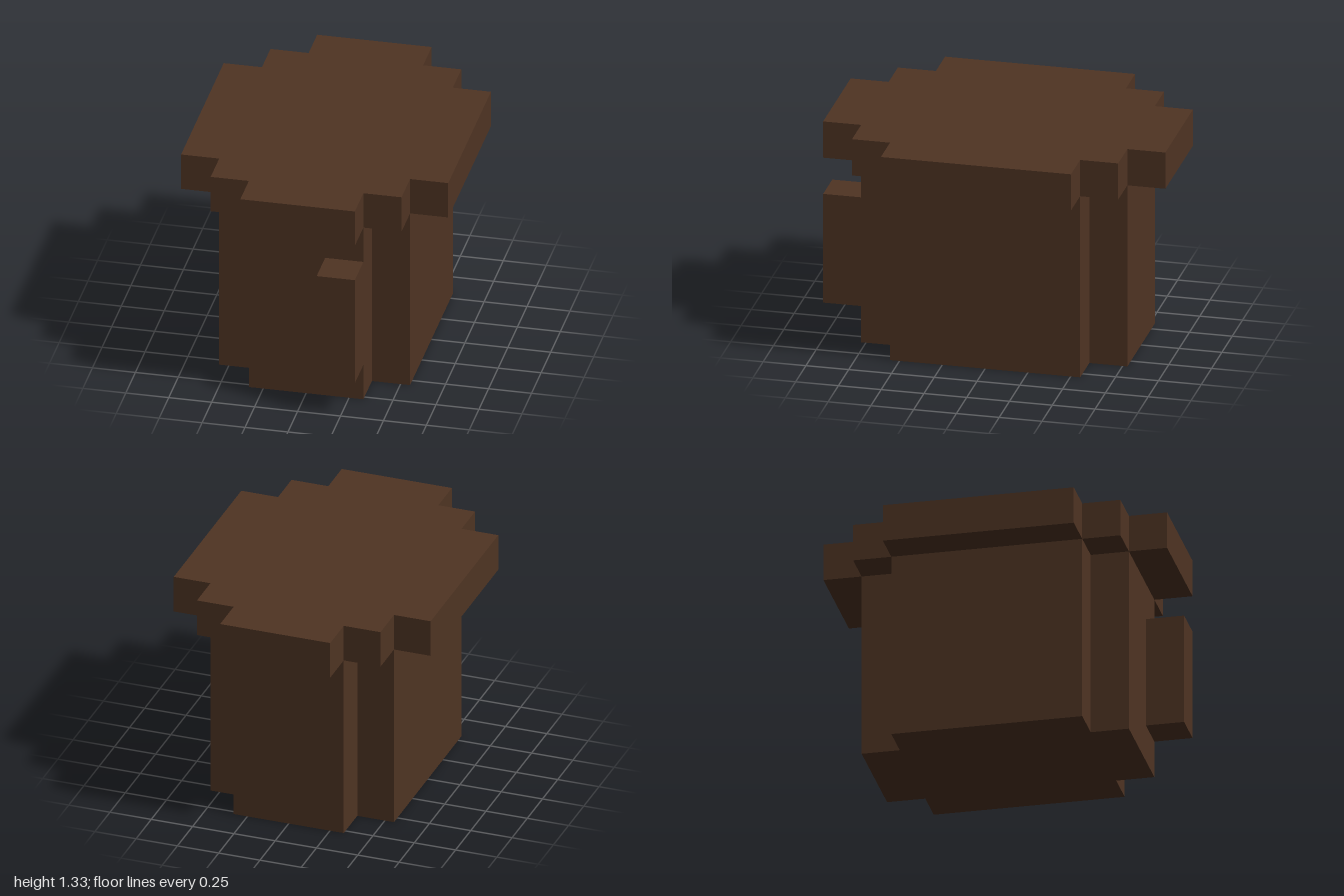
import * as THREE from 'three';

const U = 2 / 9; // one block

// Extrudes a four-way symmetric stepped outline upward from y0 to y1.
// corners: outer corners [x, z] of the first quadrant, from the side to the front.
function steppedPrism(corners, y0, y1) {
  const quarter = [];
  corners.forEach(([x, z], i) => {
    quarter.push([x, z]);
    if (i < corners.length - 1) quarter.push([corners[i + 1][0], z]);
  });
  const flipped = [...quarter].reverse();
  const outline = [
    ...quarter,
    ...flipped.map(([x, z]) => [-x, z]),
    ...quarter.map(([x, z]) => [-x, -z]),
    ...flipped.map(([x, z]) => [x, -z]),
  ].map(([x, z]) => new THREE.Vector2(x * U, z * U));
  const geo = new THREE.ExtrudeGeometry(new THREE.Shape(outline), {
    depth: (y1 - y0) * U, bevelEnabled: false,
  });
  geo.rotateX(-Math.PI / 2);
  geo.translate(0, y0 * U, 0);
  return geo;
}

export function createModel() {
  const group = new THREE.Group();
  const wood = new THREE.MeshStandardMaterial({ color: 0x4f3423 });
  wood.name = 'darkBrown';

  const add = (name, geo) => {
    const mesh = new THREE.Mesh(geo, wood);
    mesh.name = name;
    group.add(mesh);
    return mesh;
  };

  // Body with notched corners
  add('body', steppedPrism([[2.5, 2.5], [1.5, 3.5]], 0, 5));

  // Wider stepped slab on top
  add('topSlab', steppedPrism([[3.5, 2.5], [2.5, 3.5], [1.5, 4.5]], 5, 6));

  // Upright block on the front, towards the left
  add('frontBlock', new THREE.BoxGeometry(U, 3 * U, U)).position.set(U, 2.5 * U, 4 * U);

  return group;
}
